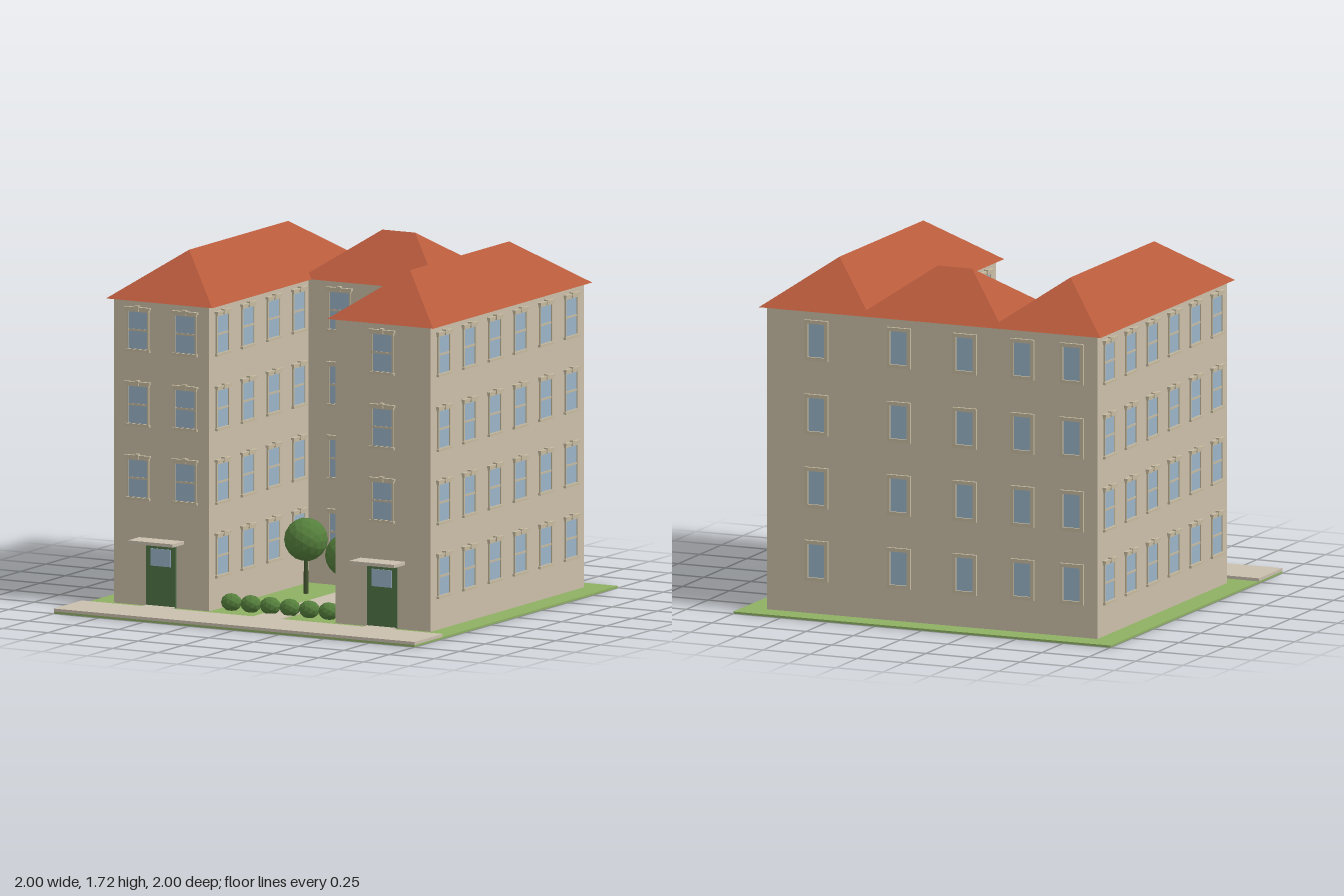
import * as THREE from 'three';
import { mergeGeometries } from 'three/addons/utils/BufferGeometryUtils.js';

const mat = (name, color, extra = {}) => {
  const m = new THREE.MeshStandardMaterial({ color, ...extra });
  m.name = name;
  return m;
};

// Box geometry from min/max limits
function span(x0, x1, y0, y1, z0, z1) {
  return new THREE.BoxGeometry(x1 - x0, y1 - y0, z1 - z0)
    .translate((x0 + x1) / 2, (y0 + y1) / 2, (z0 + z1) / 2);
}

// Hipped roof with 45 degree hips in plan; the ridge follows the longer side
function hipRoof(x0, x1, z0, z1, y0, y1) {
  const half = Math.min(x1 - x0, z1 - z0) / 2;
  const a = [x0, y0, z1], b = [x1, y0, z1], c = [x1, y0, z0], d = [x0, y0, z0];
  const alongZ = z1 - z0 > x1 - x0;
  const cx = (x0 + x1) / 2, cz = (z0 + z1) / 2;
  const p = alongZ ? [cx, y1, z1 - half] : [x0 + half, y1, cz];
  const q = alongZ ? [cx, y1, z0 + half] : [x1 - half, y1, cz];
  const sides = alongZ
    ? [a, b, p, b, c, q, b, q, p, c, d, q, d, a, p, d, p, q]
    : [a, b, q, a, q, p, b, c, q, c, d, p, c, p, q, d, a, p];
  const g = new THREE.BufferGeometry();
  g.setAttribute('position', new THREE.Float32BufferAttribute([...sides, a, d, c, a, c, b].flat(), 3));
  g.computeVertexNormals();
  return g;
}

// Rectangular frame with an opening
function frame(w, h, border, depth) {
  const x = w / 2, y = h / 2;
  return [
    span(-x, -x + border, -y, y, 0, depth), span(x - border, x, -y, y, 0, depth),
    span(-x + border, x - border, y - border, y, 0, depth),
    span(-x + border, x - border, -y, -y + border, 0, depth),
  ];
}

export function createModel() {
  const model = new THREE.Group();
  const wall = mat('wall plaster', 0xcabfa8);
  const trim = mat('window stone', 0xc6baa0);
  const paving = mat('paving', 0xcabfae);
  const roof = mat('roof tile', 0xb85a3c);
  const grass = mat('lawn', 0x8fb063);
  const glass = mat('glass', 0x9ab4c8);
  const paint = mat('door green', 0x4f7445);
  const leaf = mat('foliage', 0x557f3c, { flatShading: true });
  const bark = mat('bark', 0x42552f);

  const add = (name, geometry, material, parent = model) => {
    const m = new THREE.Mesh(geometry, material);
    m.name = name;
    parent.add(m);
    return m;
  };

  // Ground and paving
  add('lawn', span(-1, 1, 0, 0.01, -1, 1), grass);
  add('sidewalk', span(-1, 1, 0.01, 0.025, 0.725, 1), paving);
  add('gardenPath', span(-0.077, 0.073, 0.01, 0.016, -0.35, 0.725), paving);

  // U-shaped building
  const FRONT = 0.625, BACK = -0.88, COURT = -0.35, OUT = 0.877, IN = 0.35;
  add('centreWalls', span(-IN, IN, 0.01, 1.5, BACK, COURT), wall);
  add('centreRoof', hipRoof(-0.385, 0.385, -0.91, -0.322, 1.5, 1.72), roof);
  for (const [side, s] of [['right', -1], ['left', 1]]) {
    const x0 = s < 0 ? -OUT : IN, x1 = s < 0 ? -IN : OUT;
    add(side + 'WingWalls', span(x0, x1, 0.01, 1.5, BACK, FRONT), wall);
    const r0 = s < 0 ? -0.907 : 0.318, r1 = s < 0 ? -0.318 : 0.907;
    add(side + 'WingRoof', hipRoof(r0, r1, -0.91, 0.652, 1.5, 1.72), roof);
  }

  // Ornate windows have a sill, head, keystone and meeting rail
  const ornate = mergeGeometries([
    ...frame(0.122, 0.2, 0.008, 0.008),
    span(-0.052, 0.052, -0.005, 0.005, 0, 0.006),
    span(-0.068, 0.068, -0.106, -0.094, 0, 0.014),
    span(-0.064, 0.064, 0.09, 0.102, 0, 0.012),
    span(-0.071, 0.071, 0.102, 0.113, 0, 0.017),
    span(-0.01, 0.01, 0.094, 0.12, 0, 0.02),
  ]);
  const plain = mergeGeometries(frame(0.125, 0.2, 0.018, 0.014));
  const ornatePane = span(-0.053, 0.053, -0.092, 0.092, 0, 0.003);
  const plainPane = span(-0.0445, 0.0445, -0.082, 0.082, 0, 0.003);
  const floors = [0.27, 0.63, 0.99, 1.355];

  function addWindow(x, y, z, turn, fancy = true) {
    const g = new THREE.Group();
    g.name = fancy ? 'window' : 'rearWindow';
    g.position.set(x, y, z);
    g.rotation.y = turn;
    add('windowFrame', fancy ? ornate : plain, trim, g);
    add('windowPane', fancy ? ornatePane : plainPane, glass, g);
    model.add(g);
  }

  floors.forEach((y, floor) => {
    // Street fronts, above the entrances
    if (floor > 0) for (const x of [-0.743, -0.481, 0.612]) addWindow(x, y, FRONT, 0);
    // Courtyard front
    for (const x of [-0.175, 0.175]) addWindow(x, y, COURT, 0);
    // Rear
    for (const x of [-0.743, -0.481, -0.175, 0.175, 0.612]) addWindow(x, y, BACK, Math.PI, false);
    // Outer and courtyard sides of the wings
    for (let i = 0; i < 6; i++) {
      const z = 0.5 - i * 0.25;
      for (const s of [-1, 1]) {
        addWindow(s * OUT, y, z, s * Math.PI / 2);
        if (i < 4) addWindow(s * IN, y, z, -s * Math.PI / 2);
      }
    }
  });

  // Entrances with canopies; the wing doors have a light at the top
  function addEntrance(x, z, width, reach, hasLight) {
    const g = new THREE.Group();
    g.name = 'entrance';
    g.position.set(x, 0, z);
    add('door', span(-width / 2, width / 2, 0.01, 0.31, 0, 0.008), paint, g);
    add('canopy', span(-0.124, 0.124, 0.326, 0.342, 0, reach), paving, g);
    if (hasLight) {
      add('doorLight', span(-0.056, 0.056, 0.21, 0.295, 0.008, 0.011), glass, g);
      add('doorStep', span(-0.08, 0.08, 0.01, 0.016, 0, 0.1), paving, g);
    }
    model.add(g);
  }
  addEntrance(-0.614, FRONT, 0.166, 0.11, true);
  addEntrance(0.612, FRONT, 0.166, 0.11, true);
  addEntrance(0, COURT, 0.182, 0.09, false);

  // Courtyard trees
  for (const [x, z] of [[-0.203, -0.065], [0.2, 0.247]]) {
    const tree = new THREE.Group();
    tree.name = 'tree';
    tree.position.set(x, 0, z);
    add('trunk', new THREE.CylinderGeometry(0.01, 0.013, 0.2, 8).translate(0, 0.105, 0), bark, tree);
    add('crown', new THREE.IcosahedronGeometry(0.106, 2).translate(0, 0.275, 0), leaf, tree);
    model.add(tree);
  }

  // Hedge of round shrubs
  const shrub = new THREE.IcosahedronGeometry(0.052, 1).scale(1, 0.85, 0.9);
  for (let i = 0; i < 6; i++) {
    add('shrub', shrub, leaf).position.set(-0.272 + i * 0.108, 0.05, 0.545);
  }

  // Bench
  add('benchSeat', span(0.145, 0.2, 0.045, 0.057, -0.25, -0.055), roof);
  for (const z of [-0.235, -0.085]) add('benchLeg', span(0.15, 0.195, 0.01, 0.045, z, z + 0.015), roof);

  return model;
}
